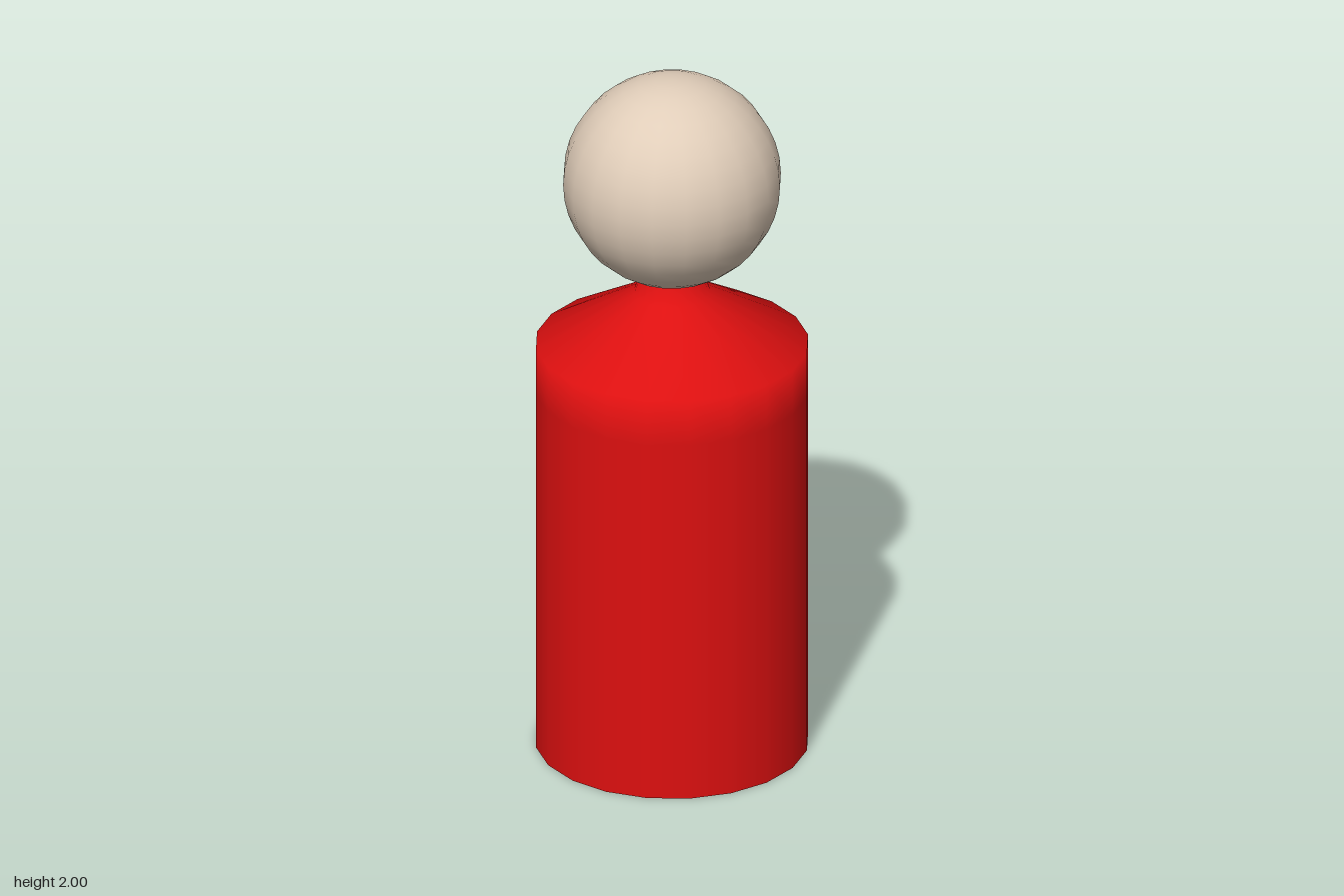
import * as THREE from 'three';

const SIDES = 20;

export function createModel() {
  const model = new THREE.Group();
  model.name = 'pegFigure';
  const red = new THREE.MeshStandardMaterial({ color: 0xdd1010 });
  const skin = new THREE.MeshStandardMaterial({ color: 0xe0cdb9 });

  const add = (name, geometry, material) => {
    const mesh = new THREE.Mesh(geometry, material);
    mesh.name = name;
    model.add(mesh);
    return mesh;
  };

  // Body: straight sides, softly shaded sloping shoulders and a short neck
  const profile = [
    [0.375, 0], [0.375, 1.07], [0.375, 1.205],
    [0.105, 1.36], [0.08, 1.425],
  ].map(([r, y]) => new THREE.Vector2(r, y));
  add('body', new THREE.LatheGeometry(profile, SIDES), red);

  // Flat underside
  const base = add('base', new THREE.CircleGeometry(0.375, SIDES), red);
  base.rotation.x = Math.PI / 2;

  // Ball head overlapping the top of the neck
  const head = add('head', new THREE.SphereGeometry(0.3, SIDES, 20), skin);
  head.position.y = 1.7;

  return model;
}
